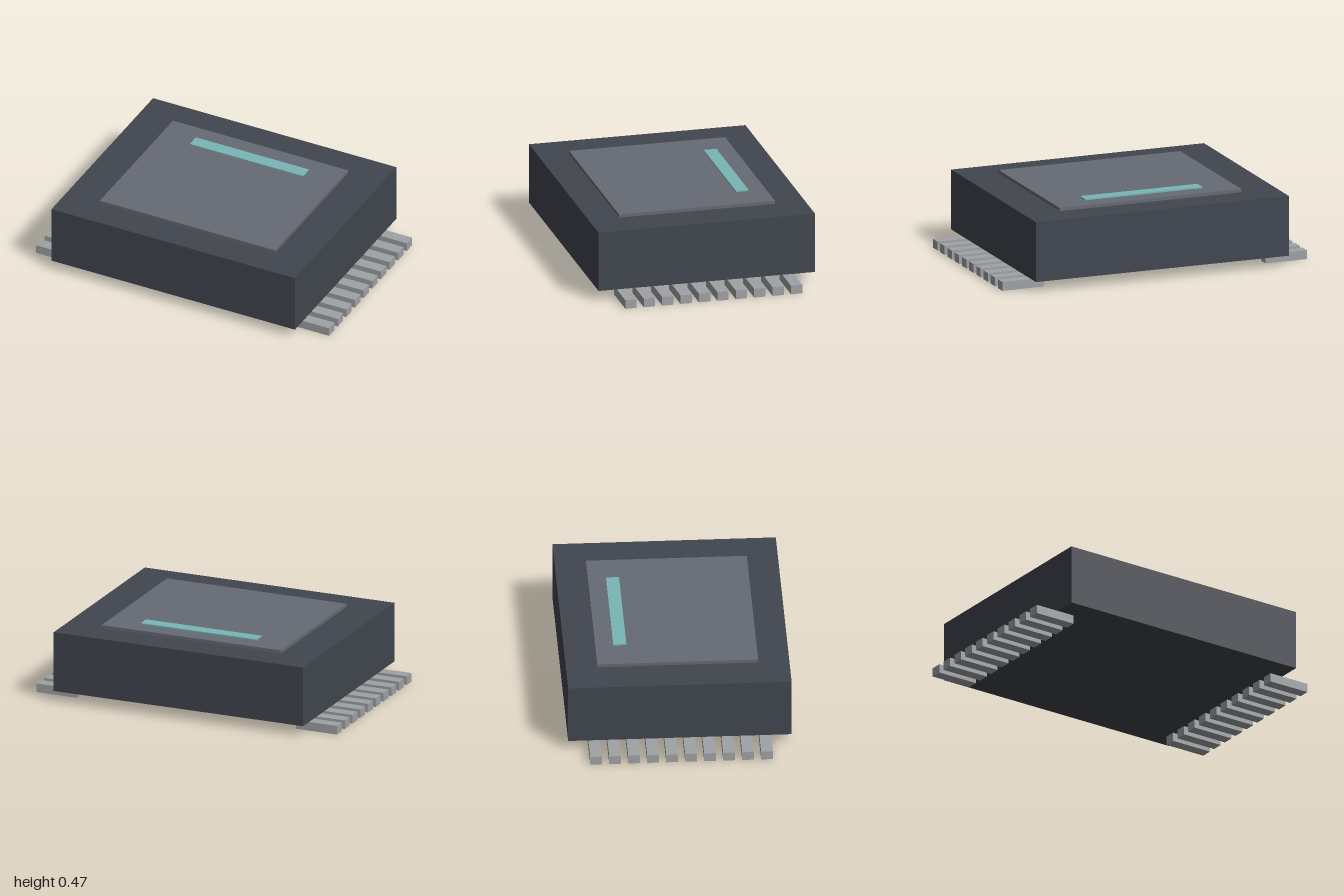
import * as THREE from 'three';

const material = (name, color) => {
  const m = new THREE.MeshStandardMaterial({ color });
  m.name = name;
  return m;
};

export function createModel() {
  const model = new THREE.Group();
  model.name = 'chipPackage';
  const dark = material('darkCasing', 0x41464f);
  const grey = material('greyLid', 0x666a73);
  const teal = material('tealMark', 0x7ab5b5);
  const metal = material('pinMetal', 0xa0a3a6);

  // Box given by its width, depth, bottom, top and centre
  const box = (name, mat, w, d, y0, y1, x = 0, z = 0) => {
    const mesh = new THREE.Mesh(new THREE.BoxGeometry(w, y1 - y0, d), mat);
    mesh.name = name;
    mesh.position.set(x, (y0 + y1) / 2, z);
    model.add(mesh);
  };

  // Casing, raised lid and orientation stripe
  box('casing', dark, 1.66, 1.36, 0.068, 0.444);
  box('lid', grey, 1.194, 0.98, 0.444, 0.464);
  box('orientationStripe', teal, 0.77, 0.08, 0.464, 0.472, 0, -0.34);

  // Ten flat pins along each side
  for (const side of [1, -1]) {
    for (let i = 0; i < 10; i++) {
      box(side > 0 ? 'leftPin' : 'rightPin', metal, 0.272, 0.071, 0, 0.055,
        side * 0.864, (i - 4.5) * 0.1156);
    }
  }
  return model;
}
